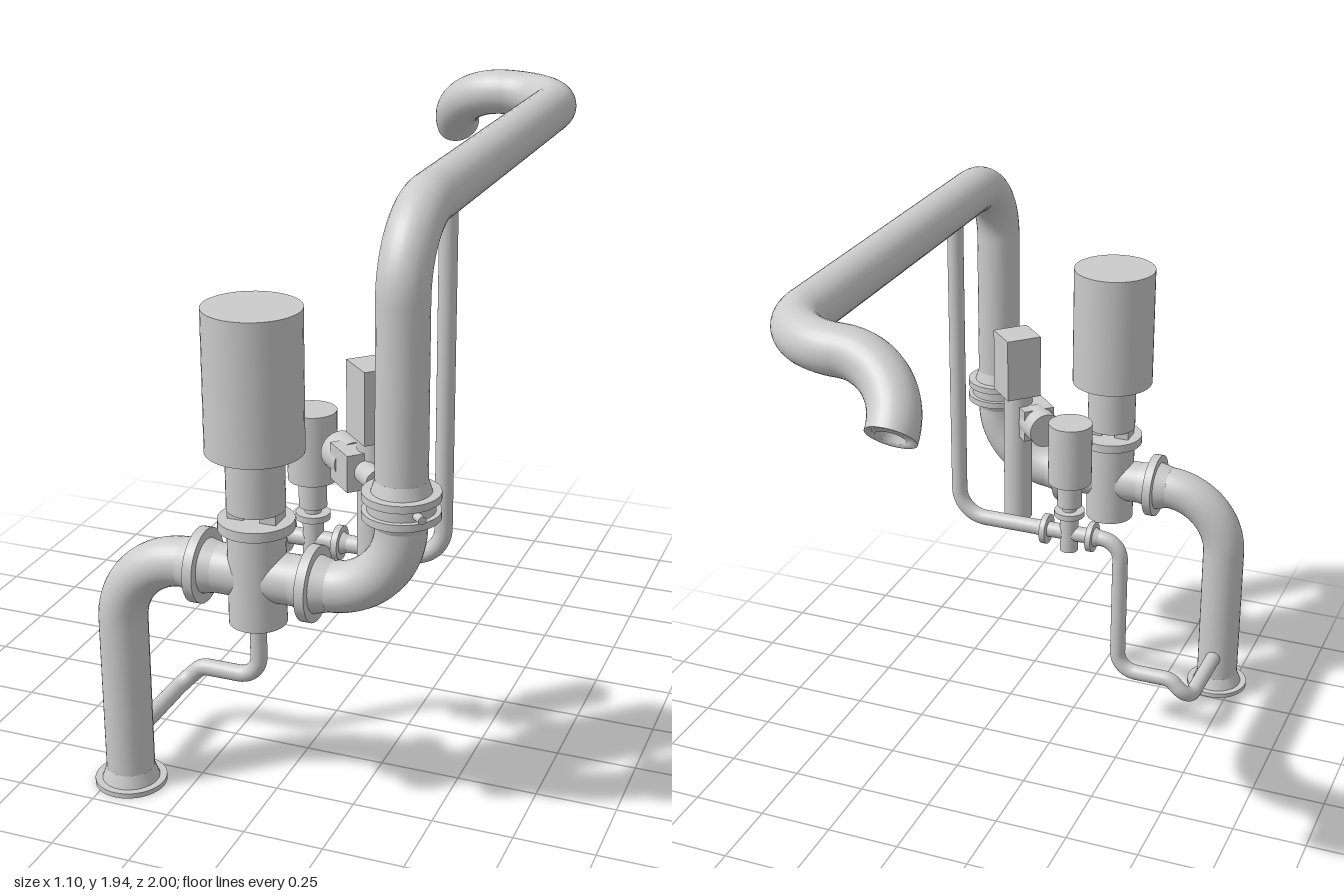
import * as THREE from 'three';

const V = (x, y, z) => new THREE.Vector3(x, y, z);
const MAT = new THREE.MeshStandardMaterial({ color: 0xcccccc });
const MAT2 = new THREE.MeshStandardMaterial({ color: 0xcccccc, side: THREE.DoubleSide });
const UP = V(0, 1, 0);

// Polyline with circular bends of the given radius at its corners
function bentPath(points, radius) {
  const path = new THREE.CurvePath();
  let from = points[0];
  for (let i = 1; i < points.length - 1; i++) {
    const p = points[i];
    const a = p.clone().sub(points[i - 1]).normalize();
    const b = points[i + 1].clone().sub(p).normalize();
    const angle = a.angleTo(b);
    const r = Array.isArray(radius) ? radius[i - 1] : radius;
    const cut = r * Math.tan(angle / 2);
    const handle = (4 / 3) * Math.tan(angle / 4) * r;
    const start = p.clone().addScaledVector(a, -cut);
    const end = p.clone().addScaledVector(b, cut);
    if (from.distanceTo(start) > 1e-4) path.add(new THREE.LineCurve3(from, start));
    path.add(new THREE.CubicBezierCurve3(start, start.clone().addScaledVector(a, handle),
      end.clone().addScaledVector(b, -handle), end));
    from = end;
  }
  const last = points[points.length - 1];
  if (from.distanceTo(last) > 1e-4) path.add(new THREE.LineCurve3(from, last));
  return path;
}

export function createModel() {
  const model = new THREE.Group();
  model.name = 'pipeAssembly';

  const add = (name, geometry, material = MAT) => {
    const mesh = new THREE.Mesh(geometry, material);
    mesh.name = name;
    model.add(mesh);
    return mesh;
  };
  const pipe = (name, points, bend, r, segments) =>
    add(name, new THREE.TubeGeometry(bentPath(points, bend), segments, r, 28, false), MAT2);
  // Cylinder or cone running from point a to point b
  const rod = (name, a, b, r0, r1 = r0) => {
    const d = b.clone().sub(a);
    const mesh = add(name, new THREE.CylinderGeometry(r1, r0, d.length(), 40));
    mesh.position.copy(a).addScaledVector(d, 0.5);
    mesh.quaternion.setFromUnitVectors(UP, d.normalize());
    return mesh;
  };
  // Stack of upright cylinders: [name, bottom, top, radius]
  const stack = (x, z, rows) =>
    rows.forEach(([name, y0, y1, r]) => rod(name, V(x, y0, z), V(x, y1, z), r));

  const R = 0.074, BEND = 0.22, PX = 0.435, Z = 0.86, Y = 0.778, TOP = 1.868;

  // Main line: inlet riser, outlet riser and overhead discharge
  pipe('inletPipe', [V(-PX - 0.005, 0, Z), V(-PX - 0.005, Y, Z), V(-0.16, Y, Z)], BEND, R, 70);
  pipe('outletElbow', [V(0.16, Y, Z), V(PX, Y, Z), V(PX, 1.05, Z)], BEND, R, 50);
  const s = Math.SQRT1_2, zEnd = -0.79;
  const mouth = V(0, TOP - BEND * s, zEnd - BEND * s);
  pipe('dischargePipe',
    [V(PX, 1.08, Z), V(PX, TOP, Z), V(PX, TOP, zEnd), V(0, TOP, zEnd), mouth],
    [BEND, BEND, BEND - 0.001], R, 180);

  // Thick-walled discharge mouth
  const lip = add('dischargeMouth', new THREE.LatheGeometry(
    [[R, 0], [0.043, 0], [0.043, -0.06], [0, -0.06]].map(([x, y]) => new THREE.Vector2(x, y)), 28), MAT2);
  lip.position.copy(mouth);
  lip.quaternion.setFromUnitVectors(UP, V(0, -s, -s));

  // Base flange with welded neck
  stack(-PX - 0.005, Z, [['baseFlange', 0, 0.016, 0.11]]);
  rod('baseNeck', V(-PX - 0.005, 0.016, Z), V(-PX - 0.005, 0.055, Z), 0.088, R);

  // Main control valve
  rod('valveCrossBody', V(-0.17, Y, Z), V(0.17, Y, Z), R);
  for (const side of [-1, 1]) {
    rod('valveFlange', V(side * 0.157, Y, Z), V(side * 0.187, Y, Z), 0.112);
    rod('valveNeck', V(side * 0.187, Y, Z), V(side * 0.23, Y, Z), 0.085, R);
    rod('valveInnerNeck', V(side * 0.157, Y, Z), V(side * 0.12, Y, Z), 0.082, R);
    const arm = add('yokeArm', new THREE.BoxGeometry(0.05, 0.04, 0.07));
    arm.position.set(side * 0.05, 0.97, Z);
  }
  stack(0, Z, [
    ['valveBody', 0.63, 0.925, 0.085],
    ['bonnetFlange', 0.925, 0.955, 0.111],
    ['valveStem', 0.95, 0.99, 0.018],
    ['actuatorNeck', 0.985, 1.16, 0.085],
    ['actuatorDrum', 1.16, 1.58, 0.142],
  ]);

  // Wafer valve between two flanges on the outlet riser
  stack(PX, Z, [
    ['lowerFlange', 1.028, 1.05, 0.111],
    ['waferBody', 1.05, 1.083, 0.096],
    ['upperFlange', 1.083, 1.105, 0.111],
  ]);
  rod('upperFlangeNeck', V(PX, 1.105, Z), V(PX, 1.14, Z), 0.085, R);
  rod('lowerFlangeNeck', V(PX, 1.0, Z), V(PX, 1.028, Z), R, 0.085);

  // Side drive, running diagonally away from the wafer valve
  const along = (t) => V(PX - t * s, 1.067, Z - t * s);
  rod('spindleTip', along(-0.13), along(-0.08), 0.012);
  rod('driveSpindle', along(0.08), along(0.18), 0.018);
  rod('driveCoupling', along(0.16), along(0.25), 0.034);
  const block = add('gearBlock', new THREE.BoxGeometry(0.112, 0.112, 0.12));
  block.position.copy(along(0.3));
  block.rotation.y = Math.PI / 4;
  rod('driveMotor', along(0.32), along(0.42), 0.06);
  stack(0.275, 0.643, [['driveColumn', 0.68, 1.17, 0.05]]);
  const box = add('controlBox', new THREE.BoxGeometry(0.124, 0.22, 0.124));
  box.position.set(0.277, 1.27, 0.641);
  box.rotation.y = Math.PI / 4;

  // Bypass line with its own small valve
  const r = 0.027, bz = 0.485, by = 0.73, vx = 0.02;
  pipe('bypassInlet', [
    V(-0.44, 0.145, 0.8), V(-0.44, 0.145, bz), V(-0.37, 0.215, bz),
    V(-0.17, 0.215, bz), V(-0.17, by, bz), V(-0.05, by, bz),
  ], [0.06, 0.05, 0.07, 0.07], r, 110);
  pipe('bypassOutlet', [V(0.08, by, bz), V(PX, by, bz), V(PX, 1.83, bz)], 0.1, r, 90);
  rod('bypassCrossBody', V(vx - 0.09, by, bz), V(vx + 0.09, by, bz), r);
  for (const side of [-1, 1]) {
    rod('bypassFlange', V(vx + side * 0.075, by, bz), V(vx + side * 0.095, by, bz), 0.053);
    rod('bypassNeck', V(vx + side * 0.095, by, bz), V(vx + side * 0.115, by, bz), 0.034, r);
  }
  stack(vx, bz, [
    ['bypassBody', 0.665, 0.8, 0.032],
    ['bypassBonnet', 0.8, 0.82, 0.053],
    ['bypassStem', 0.82, 0.845, 0.025],
    ['bypassNeckTop', 0.84, 0.935, 0.043],
    ['bypassActuator', 0.93, 1.15, 0.075],
  ]);

  return model;
}
